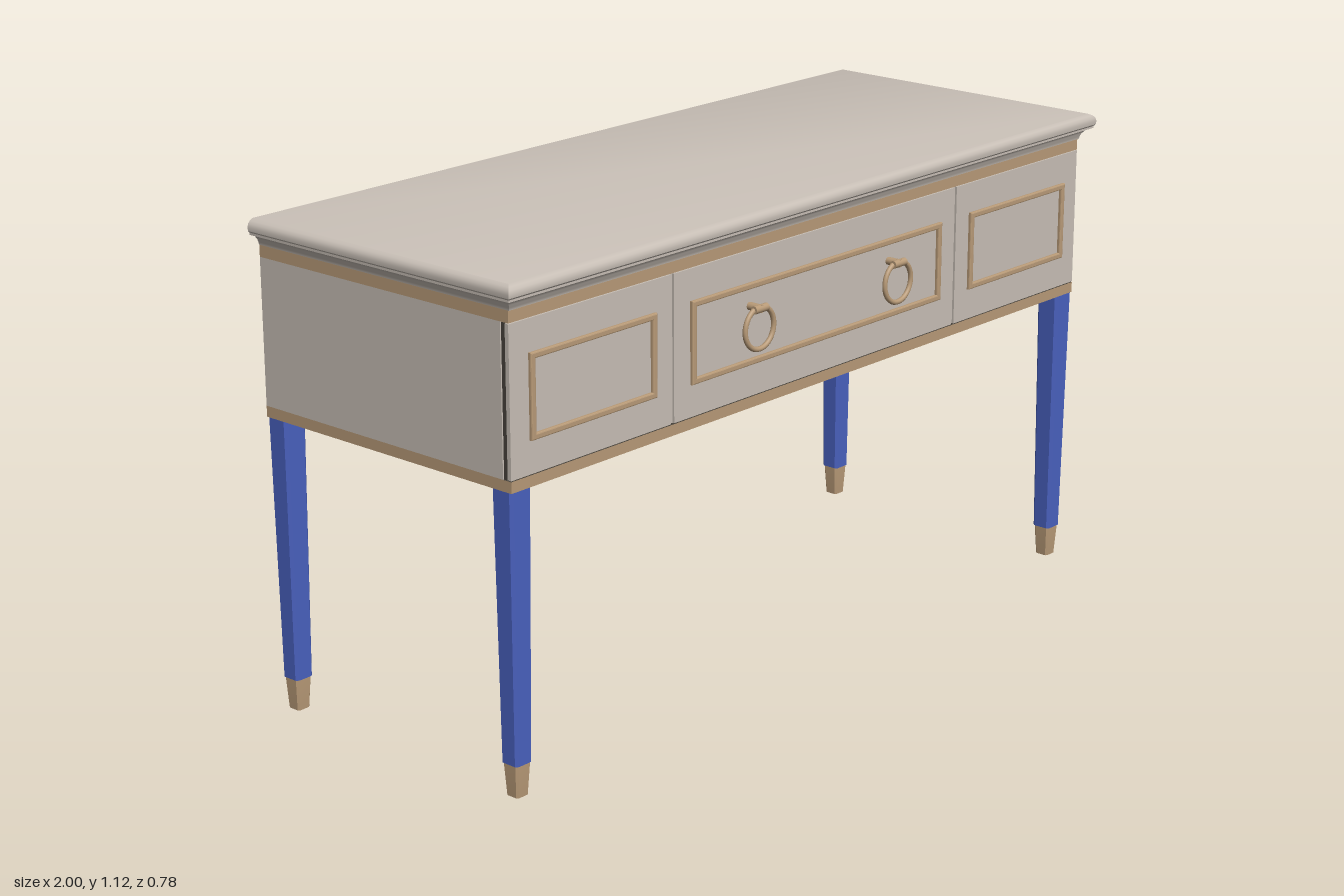
import * as THREE from 'three';
import { toCreasedNormals } from 'three/addons/utils/BufferGeometryUtils.js';

const mat = (name, color) => Object.assign(new THREE.MeshStandardMaterial({ color }), { name });

// Capped solid from stacked rings of [x, y, z], counter-clockwise seen from above.
function loft(rings) {
  const n = rings[0].length, idx = [], last = (rings.length - 1) * n;
  for (let i = 0; i < rings.length - 1; i++)
    for (let j = 0; j < n; j++) {
      const a = i * n + j, b = i * n + (j + 1) % n;
      idx.push(a, b, b + n, a, b + n, a + n);
    }
  for (let j = 1; j < n - 1; j++) idx.push(0, j + 1, j, last, last + j, last + j + 1);
  const g = new THREE.BufferGeometry();
  g.setAttribute('position', new THREE.Float32BufferAttribute(rings.flat(2), 3));
  g.setIndex(idx);
  return toCreasedNormals(g, 0.6);
}

// Square ring of half-width h with chamfered corners.
function chamferedRing(h, y, c) {
  const k = h - c;
  return [[h, k], [h, -k], [k, -h], [-k, -h], [-h, -k], [-h, k], [-k, h], [k, h]].map(([x, z]) => [x, y, z]);
}

export function createModel() {
  const model = new THREE.Group();
  model.name = 'consoleDesk';
  const paint = mat('greige paint', 0xc8bfb6);
  const gold = mat('antique gold', 0xb99b78);
  const blue = mat('blue', 0x4a62c0);
  const dark = mat('dark interior', 0x48433c);

  const add = (name, geo, material, x = 0, y = 0, z = 0, parent = model) => {
    const m = new THREE.Mesh(geo, material);
    m.name = name;
    m.position.set(x, y, z);
    parent.add(m);
    return m;
  };
  // Box given by its limits.
  const box = (name, material, x0, x1, y0, y1, z0, z1) =>
    add(name, new THREE.BoxGeometry(x1 - x0, y1 - y0, z1 - z0), material, (x0 + x1) / 2, (y0 + y1) / 2, (z0 + z1) / 2);

  const W = 0.97, BACK = -0.39, FRONT = 0.35;

  // Top with moulded front and sides and a flat back: [overhang, y]
  const profile = [[0.001, 1.064], [0.002, 1.07], [0.005, 1.077], [0.011, 1.084], [0.019, 1.089], [0.025, 1.09],
    [0.025, 1.095], [0.029, 1.099], [0.03, 1.107], [0.028, 1.115], [0.023, 1.121], [0.015, 1.125]];
  add('top', loft(profile.map(([o, y]) => {
    const x = W + o, z = FRONT + 0.003 + o;
    return [[x, y, z], [x, y, BACK], [-x, y, BACK], [-x, y, z]];
  })), paint);

  // Boards with gilded edges, dark on the inside
  box('upperBand', [gold, gold, paint, dark, gold, gold], -W, W, 1.037, 1.065, BACK, FRONT);
  box('lowerBand', [gold, gold, dark, paint, gold, gold], -W, W, 0.68, 0.705, BACK, FRONT);

  // Case: open at the back
  box('drawerBacking', dark, -W + 0.003, W - 0.003, 0.705, 1.037, 0.325, 0.34);
  for (const s of [-1, 1])
    box('sidePanel', paint, s < 0 ? -W : W - 0.02, s < 0 ? -W + 0.02 : W, 0.705, 1.037, BACK, 0.327);

  // Drawer fronts with gilded frames
  const frame = (x, w) => {
    const h = 0.185, t = 0.014, b = 0.003;
    const rect = (P, a, c) => new P().moveTo(-a, -c).lineTo(a, -c).lineTo(a, c).lineTo(-a, c).closePath();
    const s = rect(THREE.Shape, w / 2 - b, h / 2 - b);
    s.holes.push(rect(THREE.Path, w / 2 - t + b, h / 2 - t + b));
    const g = new THREE.ExtrudeGeometry(s, { depth: 0.005, bevelThickness: b, bevelSize: b, bevelSegments: 2 });
    add('drawerFrame', g, gold, x, 0.872, FRONT);
  };
  const drawers = [[-W, -0.492], [-0.482, 0.482], [0.492, W]];
  drawers.forEach(([a, b]) => box('drawerFront', paint, a, b, 0.707, 1.035, 0.34, FRONT));
  frame(0, 0.862);
  for (const s of [-1, 1]) {
    frame(s * 0.728, 0.375);
    box('drawerSeam', paint, s * 0.487 - 0.005, s * 0.487 + 0.005, 0.707, 1.035, 0.338, 0.345);
  }

  // Ring pulls
  for (const s of [-1, 1]) {
    const pull = new THREE.Group();
    pull.name = 'ringPull';
    pull.position.set(s * 0.24, 0, 0);
    model.add(pull);
    add('ring', new THREE.TorusGeometry(0.047, 0.006, 10, 40), gold, 0, 0.868, 0.379, pull);
    const post = new THREE.CylinderGeometry(0.009, 0.009, 0.038, 16).rotateX(Math.PI / 2);
    add('post', post, gold, 0, 0.912, 0.367, pull);
    const bar = new THREE.CylinderGeometry(0.009, 0.009, 0.042, 16).rotateZ(Math.PI / 2);
    add('hinge', bar, gold, 0, 0.912, 0.381, pull);
  }

  // Tapered legs with gilded feet
  const legGeo = loft([chamferedRing(0.024, 0.075, 0.006), chamferedRing(0.03, 0.68, 0.007)]);
  const footGeo = loft([chamferedRing(0.017, 0, 0.004), chamferedRing(0.0215, 0.07, 0.005), chamferedRing(0.0215, 0.076, 0.005)]);
  for (const x of [-0.94, 0.94])
    for (const z of [-0.36, 0.32]) {
      add('leg', legGeo, blue, x, 0, z);
      add('foot', footGeo, gold, x, 0, z);
    }

  return model;
}
